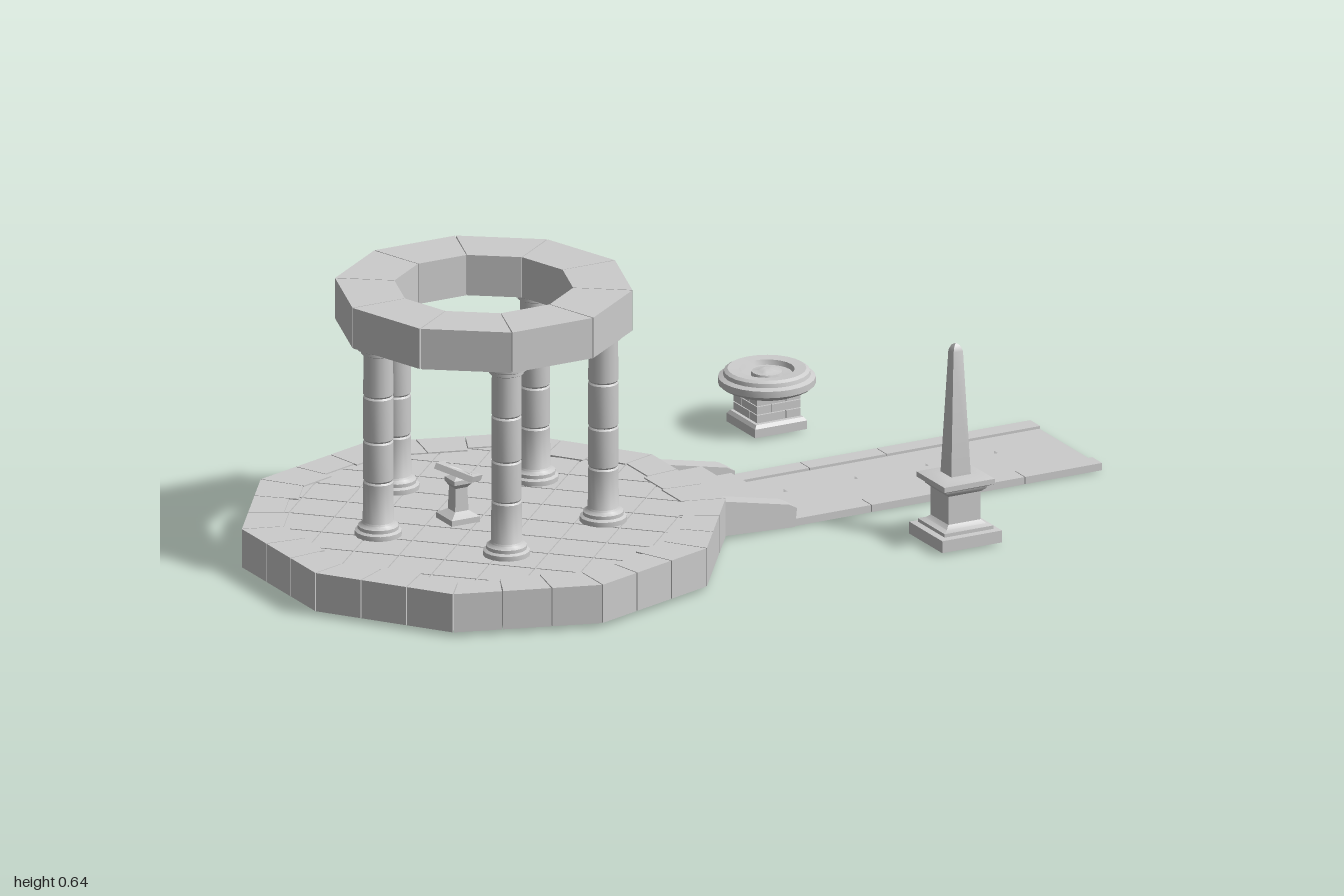
import * as THREE from 'three';
import { toCreasedNormals } from 'three/addons/utils/BufferGeometryUtils.js';

const stone = new THREE.MeshStandardMaterial({ color: 0xcccccc });
const CX = -0.48, CZ = 0.007; // centre of the round temple

function add(parent, name, geometry, x = 0, y = 0, z = 0) {
  const mesh = new THREE.Mesh(geometry, stone);
  mesh.name = name;
  mesh.position.set(x, y, z);
  parent.add(mesh);
  return mesh;
}

function group(parent, name, x, y, z) {
  const g = new THREE.Group();
  g.name = name;
  g.position.set(x, y, z);
  parent.add(g);
  return g;
}

// Upright prism over a polygon of [x, z] points, with optional holes
function prism(points, y0, y1, holes = []) {
  const toPath = (Type, pts) => new Type(pts.map(([x, z]) => new THREE.Vector2(x, -z)));
  const shape = toPath(THREE.Shape, points);
  shape.holes = holes.map(h => toPath(THREE.Path, h));
  const g = new THREE.ExtrudeGeometry(shape, { depth: y1 - y0, bevelEnabled: false });
  return g.rotateX(-Math.PI / 2).translate(0, y0, 0);
}

// Turned part from [radius, y] pairs, bottom to top
function turned(profile, sides) {
  const g = new THREE.LatheGeometry(profile.map(([r, y]) => new THREE.Vector2(r, y)), sides);
  return toCreasedNormals(g, 0.6);
}

// Square stepped part: a four-sided turned profile given by half-widths
function squared(profile) {
  const g = turned(profile.map(([h, y]) => [h * Math.SQRT2, y]), 4);
  return g.rotateY(Math.PI / 4);
}

const polar = (r, a) => [r * Math.cos(a), r * Math.sin(a)];
const mix = (a, b, t) => [a[0] + (b[0] - a[0]) * t, a[1] + (b[1] - a[1]) * t];
const rect = (x0, z0, x1, z1) => [[x0, z0], [x1, z0], [x1, z1], [x0, z1]];

// Cuts a convex polygon down to the inside of a regular decagon
function clipToDecagon(poly, apothem) {
  for (let i = 0; i < 10 && poly.length; i++) {
    const [nx, nz] = polar(1, i * Math.PI / 5);
    const dist = p => p[0] * nx + p[1] * nz - apothem;
    const out = [];
    poly.forEach((p, k) => {
      const q = poly[(k + 1) % poly.length], dp = dist(p), dq = dist(q);
      if (dp <= 0) out.push(p);
      if (dp * dq < 0) out.push(mix(p, q, dp / (dp - dq)));
    });
    poly = out;
  }
  return poly;
}

function buildPlatform(root) {
  const platform = group(root, 'platform', CX, 0, CZ);
  const corner = (r, i) => polar(r, (i + 0.5) * Math.PI / 5);
  // Rim: three blocks to each of ten sides, of uneven depth
  const cuts = [0, 0.34, 0.67, 1];
  for (let i = 0; i < 10; i++) {
    for (let k = 0; k < 3; k++) {
      const inner = 0.455 + 0.012 * Math.sin(i * 5 + k * 2.3);
      const a = cuts[k] + 0.004, b = cuts[k + 1] - 0.004;
      const edge = (r, t) => mix(corner(r, i), corner(r, i + 1), t);
      add(platform, 'rimBlock', prism([edge(0.548, a), edge(0.548, b), edge(inner, b), edge(inner, a)], 0.01, 0.1));
    }
  }
  // Thin floor under diagonal paving
  const bed = Array.from({ length: 10 }, (_, i) => corner(0.48, i));
  add(platform, 'floorBed', prism(bed, 0.08, 0.094));
  const size = 0.105, gap = 0.002, d = Math.SQRT1_2;
  for (let i = -5; i < 5; i++) {
    for (let j = -5; j < 5; j++) {
      const tile = rect(i * size + gap, j * size + gap, (i + 1) * size - gap, (j + 1) * size - gap)
        .map(([u, v]) => [(u - v) * d, (u + v) * d]);
      const cut = clipToDecagon(tile, 0.445);
      if (cut.length > 2) add(platform, 'floorTile', prism(cut, 0.092, 0.097));
    }
  }
}

function buildTemple(root) {
  const temple = group(root, 'temple', CX, 0, CZ);
  // Five columns with moulded ends and joints between the drums
  const profile = [[0, 0.096], [0.053, 0.096], [0.053, 0.108], [0.046, 0.112], [0.046, 0.12], [0.037, 0.126], [0.035, 0.13]];
  for (const y of [0.225, 0.32, 0.425]) {
    profile.push([0.034, y - 0.004], [0.031, y], [0.034, y + 0.004]);
  }
  profile.push([0.033, 0.522], [0.039, 0.525], [0.039, 0.532], [0.05, 0.537], [0.05, 0.548], [0, 0.548]);
  const column = turned(profile, 16);
  for (let i = 0; i < 5; i++) {
    const [x, z] = polar(0.268, Math.PI + i * Math.PI * 2 / 5);
    add(temple, 'column', column, x, 0, z);
  }
  // Ring of ten heavy lintel blocks
  for (let i = 0; i < 10; i++) {
    const a = i * Math.PI / 5 + 0.004, b = (i + 1) * Math.PI / 5 - 0.004;
    add(temple, 'lintelBlock', prism([polar(0.333, a), polar(0.333, b), polar(0.2, b), polar(0.2, a)], 0.546, 0.641));
  }
}

function buildLectern(root) {
  const lectern = group(root, 'lectern', -0.545, 0.096, CZ);
  add(lectern, 'lecternPost', squared([[0, 0], [0.036, 0], [0.036, 0.014], [0.026, 0.02], [0.017, 0.026],
    [0.015, 0.08], [0.022, 0.09], [0.022, 0.1], [0, 0.112]]));
  // Tilted diamond plate with a raised border and a round boss
  const plate = group(lectern, 'lecternPlate', 0, 0.113, 0);
  plate.rotation.z = -0.39;
  const diamond = r => [[r, 0], [0, r], [-r, 0], [0, -r]];
  add(plate, 'plate', prism(diamond(0.064), -0.006, 0.002));
  add(plate, 'plateBorder', prism(diamond(0.064), 0.002, 0.008, [diamond(0.05)]));
  add(plate, 'plateBoss', turned([[0.031, 0.002], [0.031, 0.005], [0.026, 0.005], [0.024, 0.003], [0, 0.003]], 12));
}

function buildStairs(root) {
  const stairs = group(root, 'stairs', 0, 0, CZ);
  // Sloping cheek walls either side of the steps
  const cheek = new THREE.Shape([[0.03, 0.01], [0.22, 0.001], [0.225, 0.045], [0.205, 0.056], [0.03, 0.093]]
    .map(p => new THREE.Vector2(...p)));
  for (const z of [-0.165, 0.12]) {
    add(stairs, 'cheekWall', new THREE.ExtrudeGeometry(cheek, { depth: 0.045, bevelEnabled: false }), 0, 0, z);
  }
  [[0.14, 0.07], [0.215, 0.042]].forEach(([x, y]) => {
    add(stairs, 'step', prism(rect(0.03, -0.122, x, 0.122), 0.004, y));
  });
}

function buildPath(root) {
  const path = group(root, 'path', 0, 0, CZ);
  add(path, 'pathBed', prism(rect(0.2, -0.125, 1, 0.125), 0, 0.007));
  // Paving slab with a row of sunken key-pattern grooves
  const keys = [0.285, 0.465, 0.645, 0.82].map(x => [
    [x, -0.06], [x + 0.118, -0.06], [x + 0.118, -0.038], [x + 0.018, -0.038], [x + 0.018, 0.062], [x, 0.062],
  ]);
  const bars = [0.42, 0.6, 0.775, 0.95].map(x => rect(x, -0.075, x + 0.006, 0.085));
  add(path, 'pathPaving', prism(rect(0.2, -0.122, 0.998, 0.122), 0.006, 0.014, [...keys, ...bars]));
  // Kerbs in long stones
  for (const z of [-0.165, 0.12]) {
    for (let i = 0; i < 4; i++) {
      const x = 0.22 + i * 0.195;
      add(path, 'kerbStone', prism(rect(x, z, x + 0.193 + (i === 3 ? 0.002 : 0), z + 0.045), 0.003, 0.02));
    }
  }
}

function buildObelisk(root) {
  const obelisk = group(root, 'obelisk', 0.49, 0, 0.422);
  add(obelisk, 'obeliskPedestal', squared([[0, 0.006], [0.076, 0.006], [0.076, 0.034], [0.062, 0.036], [0.062, 0.044],
    [0.05, 0.048], [0.041, 0.056], [0.041, 0.122], [0.05, 0.13], [0.052, 0.136], [0.064, 0.142],
    [0.064, 0.154], [0.04, 0.16], [0, 0.16]]));
  add(obelisk, 'obeliskShaft', squared([[0.025, 0.156], [0.012, 0.448], [0.007, 0.461], [0, 0.466]]));
}

function buildBasin(root) {
  const basin = group(root, 'basin', 0.49, 0, -0.447);
  add(basin, 'basinFoot', squared([[0, 0.006], [0.066, 0.006], [0.066, 0.026], [0.06, 0.034], [0, 0.034]]));
  add(basin, 'basinCore', prism(rect(-0.05, -0.05, 0.05, 0.05), 0.03, 0.096));
  // Brick courses with staggered joints on all four faces
  [0, 1, 2].forEach(row => {
    for (let side = 0; side < 4; side++) {
      const face = group(basin, 'brickFace', 0, 0.045 + row * 0.02, 0);
      face.rotation.y = side * Math.PI / 2;
      const joint = row % 2 ? -0.018 : 0.018;
      [[-0.055, joint - 0.001], [joint + 0.001, 0.055]].forEach(([a, b]) => {
        add(face, 'brick', new THREE.BoxGeometry(b - a, 0.018, 0.01), (a + b) / 2, 0, 0.05);
      });
    }
  });
  // Round bowl with a stepped lip and a small centre knob
  add(basin, 'basinBowl', turned([[0, 0.09], [0.078, 0.09], [0.1, 0.1], [0.109, 0.107], [0.109, 0.122], [0.098, 0.127],
    [0.096, 0.136], [0.088, 0.141], [0.062, 0.139], [0.058, 0.128], [0.036, 0.126], [0.034, 0.134],
    [0.018, 0.136], [0.008, 0.141], [0, 0.141]], 24));
}

export function createModel() {
  const root = new THREE.Group();
  root.name = 'templeGarden';
  [buildPlatform, buildTemple, buildLectern, buildStairs, buildPath, buildObelisk, buildBasin].forEach(build => build(root));
  return root;
}
